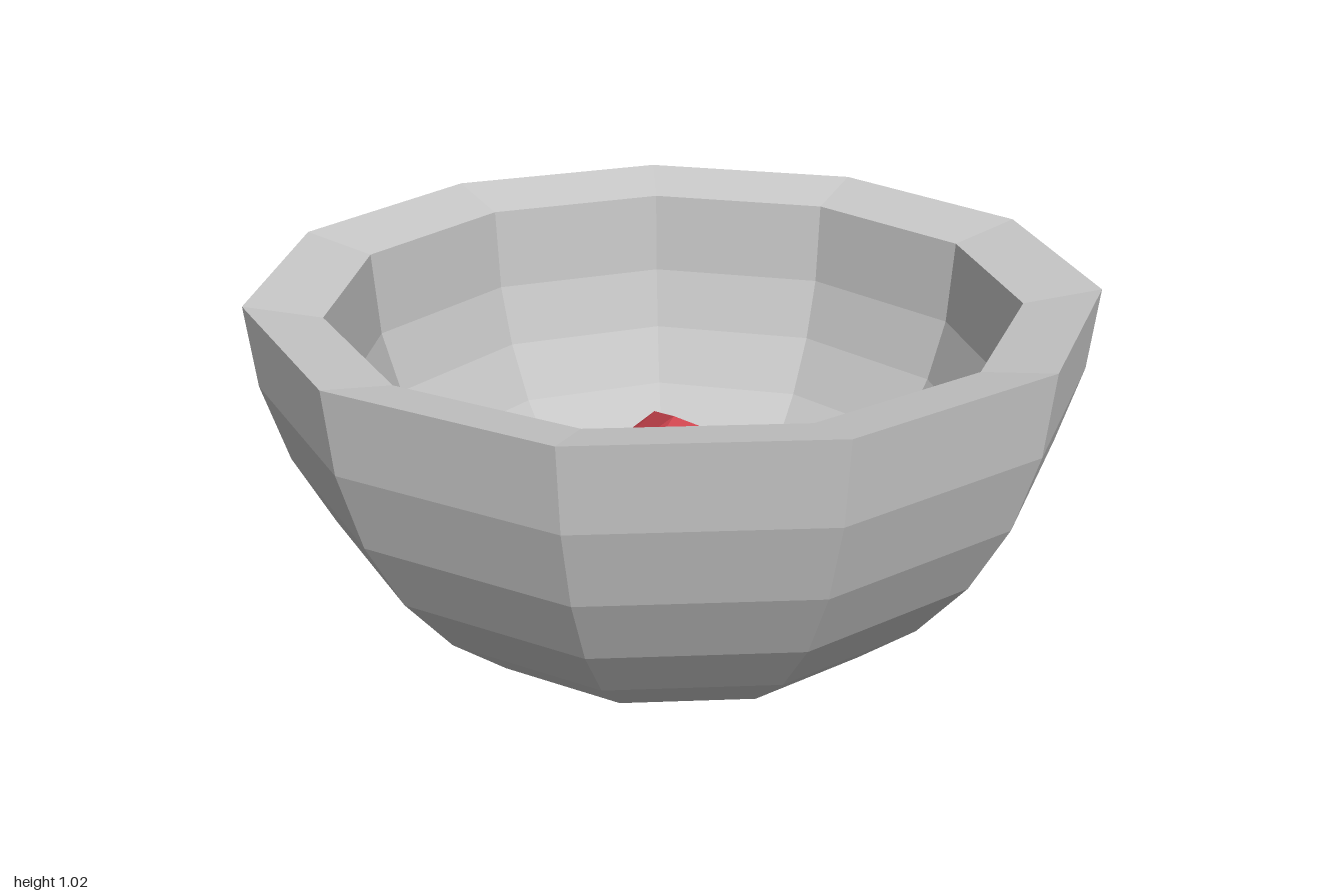
import * as THREE from 'three';

const SIDES = 11, RINGS = 8, CENTER_Z = 0.02;

const stone = new THREE.MeshStandardMaterial({ color: 0xc8c8c8 });
stone.name = 'light grey';
const red = new THREE.MeshStandardMaterial({ color: 0xcc444e });
red.name = 'red';

// Separate the faces so every facet is shaded flat
function facetedMesh(geometry, material, name) {
  const flat = geometry.index ? geometry.toNonIndexed() : geometry;
  flat.computeVertexNormals();
  const mesh = new THREE.Mesh(flat, material);
  mesh.name = name;
  mesh.position.z = CENTER_Z;
  return mesh;
}

// Quarter circle from the bottom pole (0) up to the rim (RINGS)
function arcPoint(i, radius, centerY, height) {
  const a = (i / RINGS) * Math.PI / 2;
  return new THREE.Vector2(Math.sin(a) * radius, centerY - Math.cos(a) * height);
}

// Thick bowl: outer wall, inward sloping rim, inner wall
function makeBowl() {
  const profile = [];
  for (let i = 0; i <= RINGS; i++) profile.push(arcPoint(i, 1.01, 1.02, 1.02));
  profile.push(new THREE.Vector2(0.83, 0.98));
  for (let i = RINGS - 1; i >= 0; i--) profile.push(arcPoint(i, 0.83, 0.93, 0.83));
  return facetedMesh(new THREE.LatheGeometry(profile, SIDES, Math.PI), stone, 'bowl');
}

// Square block with an uneven peaked top
function makeBlock() {
  const h = 0.25, base = 0.12;
  const p = {
    backLeft: [-h, 0.40, -h], backRight: [h, 0.40, -h],
    frontLeft: [-h, 0.38, h], frontRight: [h, 0.38, h],
    midLeft: [-h, 0.47, 0], midRight: [h, 0.55, 0],
    peak: [0, 0.66, 0], shoulder: [-0.04, 0.60, -0.175],
  };
  const position = [];
  const fan = (...c) => {
    for (let i = 1; i < c.length - 1; i++) position.push(...c[0], ...c[i], ...c[i + 1]);
  };
  // Top facets
  fan(p.peak, p.midLeft, p.frontLeft, p.frontRight, p.midRight);
  fan(p.shoulder, p.backLeft, p.midLeft, p.peak);
  fan(p.shoulder, p.peak, p.midRight, p.backRight);
  fan(p.shoulder, p.backRight, p.backLeft);
  // Side walls and underside
  const loop = [p.frontLeft, p.frontRight, p.midRight, p.backRight, p.backLeft, p.midLeft];
  const floor = loop.map(([x, , z]) => [x, base, z]);
  loop.forEach((a, i) => {
    const j = (i + 1) % loop.length;
    fan(floor[i], floor[j], loop[j], a);
  });
  fan(...floor.slice().reverse());
  const geometry = new THREE.BufferGeometry();
  geometry.setAttribute('position', new THREE.Float32BufferAttribute(position, 3));
  return facetedMesh(geometry, red, 'peakedBlock');
}

export function createModel() {
  const model = new THREE.Group();
  model.name = 'bowlWithBlock';
  model.add(makeBowl(), makeBlock());
  return model;
}
